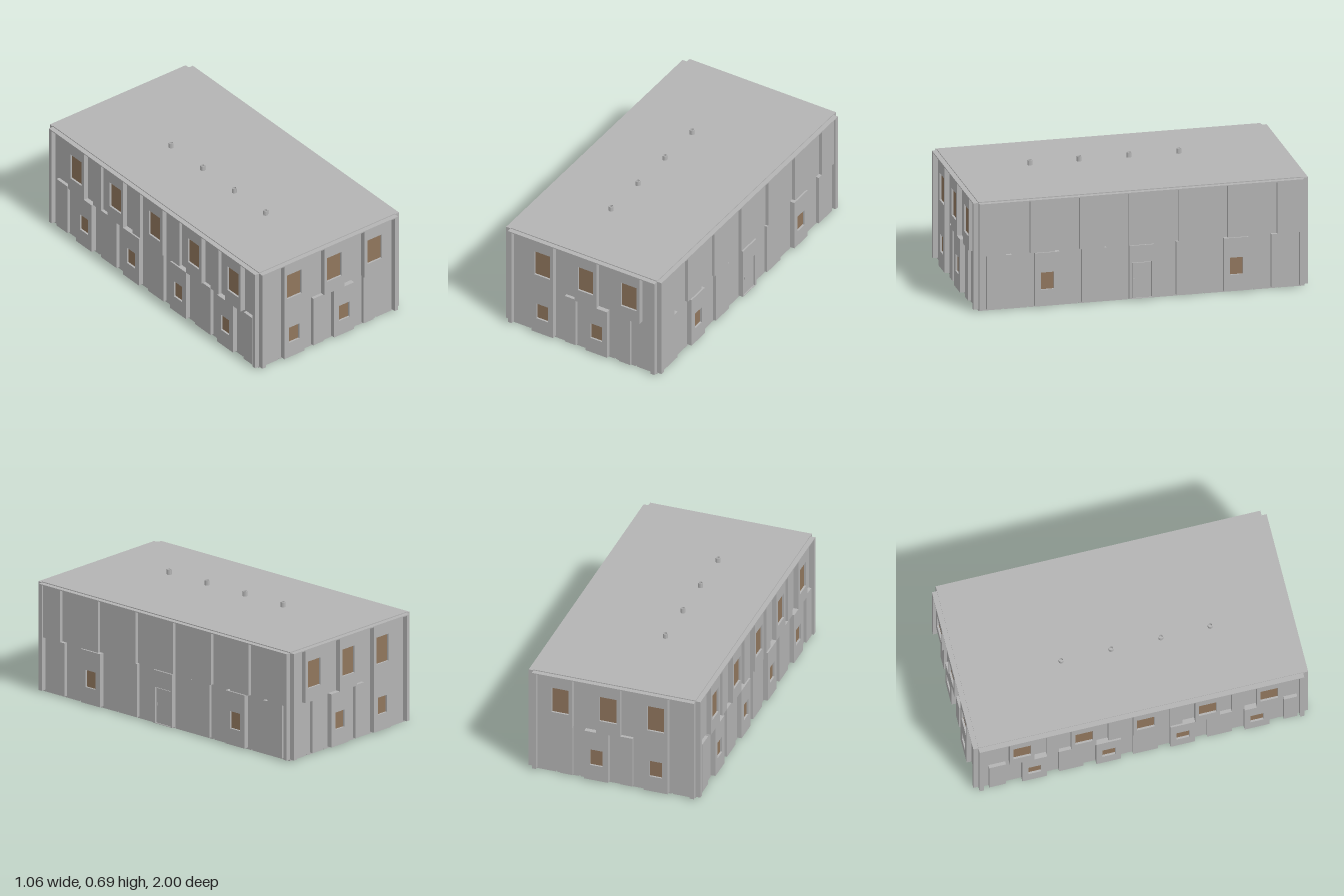
import * as THREE from 'three';

const concrete = new THREE.MeshStandardMaterial({ color: 0xb3b3b3 });
concrete.name = 'concrete';
const glass = new THREE.MeshStandardMaterial({ color: 0x90765d });
glass.name = 'brown glass';

const HX = 0.5, HZ = 0.97;        // half size of the core
const OUT = 0.03;                 // how far window panels stand out
const FIN = 0.02;                 // how far plain panels stand out
const Y0 = 0.01, YM = 0.335, Y1 = 0.66;
const UNIT = 0.1475;              // panel width

function add(parent, name, geometry, material, x = 0, y = 0, z = 0) {
  const mesh = new THREE.Mesh(geometry, material);
  mesh.name = name;
  mesh.position.set(x, y, z);
  parent.add(mesh);
  return mesh;
}

function box(parent, name, x0, x1, y0, y1, z0, z1, material = concrete) {
  return add(parent, name, new THREE.BoxGeometry(x1 - x0, y1 - y0, z1 - z0), material,
    (x0 + x1) / 2, (y0 + y1) / 2, (z0 + z1) / 2);
}

// Wall panel with a rectangular opening [x0, x1, y0, y1]
function openPanel(parent, name, cx, y0, y1, [hx0, hx1, hy0, hy1]) {
  const w = UNIT / 2;
  const shape = new THREE.Shape();
  shape.moveTo(cx - w, y0).lineTo(cx + w, y0).lineTo(cx + w, y1).lineTo(cx - w, y1).closePath();
  const hole = new THREE.Path();
  hole.moveTo(hx0, hy0).lineTo(hx0, hy1).lineTo(hx1, hy1).lineTo(hx1, hy0).closePath();
  shape.holes.push(hole);
  add(parent, name, new THREE.ExtrudeGeometry(shape, { depth: OUT, bevelEnabled: false }), concrete);
}

// Panel with a window set back in it
function windowPanel(parent, cx, upper) {
  const [w, lo, hi] = upper ? [0.0525, 0.42, 0.585] : [0.0385, 0.11, 0.215];
  const y = upper ? [YM, Y1] : [Y0, YM];
  openPanel(parent, 'windowPanel', cx, y[0], y[1], [cx - w, cx + w, lo, hi]);
  box(parent, 'windowPane', cx - w, cx + w, lo, hi, 0.01, 0.018, glass);
}

// Panel with a door and its handle
function doorPanel(parent, cx) {
  openPanel(parent, 'doorPanel', cx, Y0, YM, [cx - 0.06, cx + 0.06, Y0 + 0.003, 0.232]);
  box(parent, 'door', cx - 0.055, cx + 0.055, Y0, 0.226, 0, 0.022);
  box(parent, 'doorHandle', cx - 0.05, cx - 0.044, 0.12, 0.135, 0.02, 0.028);
}

// One wall: x runs along it, z points outwards from the core
function wall(root, name, angle, half, distance, spec) {
  const g = new THREE.Group();
  g.name = name;
  g.rotation.y = angle;
  g.position.set(Math.sin(angle) * distance, 0, Math.cos(angle) * distance);
  spec.upper.forEach(c => windowPanel(g, c, true));
  spec.lower.forEach(c => windowPanel(g, c, false));
  (spec.doors || []).forEach(c => doorPanel(g, c));
  for (const [c, w] of spec.upperFins) box(g, 'plainPanel', c - w / 2, c + w / 2, YM, Y1, 0, FIN);
  for (const [c, w] of spec.lowerFins) box(g, 'plainPanel', c - w / 2, c + w / 2, Y0, YM, 0, FIN);
  // end strips and top ledge
  for (const s of [-1, 1]) {
    const c = s * (half - 0.0125);
    box(g, 'endStrip', c - 0.0125, c + 0.0125, Y0, Y1, 0, OUT);
  }
  box(g, 'topLedge', -half, half, Y1 - 0.006, Y1, 0, OUT);
  root.add(g);
}

export function createModel() {
  const root = new THREE.Group();
  root.name = 'building';

  // Core block with the roof on top
  box(root, 'core', -HX, HX, 0.006, 0.665, -HZ, HZ);

  // Floor tiles with narrow joints
  const nx = 7, nz = 13, tx = 2 * HX / nx, tz = 2 * HZ / nz, gap = 0.004;
  for (let i = 0; i < nx; i++) for (let j = 0; j < nz; j++) {
    const x = -HX + i * tx, z = -HZ + j * tz;
    box(root, 'floorTile', x + (i ? gap : 0), x + tx - (i < nx - 1 ? gap : 0), 0, 0.007,
      z + (j ? gap : 0), z + tz - (j < nz - 1 ? gap : 0));
  }

  // Front and back share the same window positions
  const end = s => ({
    upper: [-0.265, 0.03, 0.325].map(c => c * s),
    lower: [-0.265, 0.1025].map(c => c * s),
    upperFins: [],
    lowerFins: [[-0.08 * s, 0.074], [0.29 * s, 0.074]],
  });
  wall(root, 'frontWall', 0, HX, HZ, end(1));
  wall(root, 'backWall', Math.PI, HX, HZ, end(-1));

  // Side with the door
  wall(root, 'leftWall', Math.PI / 2, HZ, HX, {
    upper: [], lower: [-0.565, 0.565], doors: [0],
    upperFins: [-3, -2, -1, 0, 1, 2, 3].map(k => [k * 2 * UNIT, UNIT]),
    lowerFins: [-0.85, -0.2825, 0.2825, 0.85].map(c => [c, UNIT]),
  });

  // Side with two rows of windows
  const up = [-2, -1, 0, 1, 2].map(k => 0.023 + k * 0.369);
  const low = [-1.5, -0.5, 0.5, 1.5].map(k => 0.023 + k * 0.4425);
  wall(root, 'rightWall', -Math.PI / 2, HZ, HX, {
    upper: up, lower: low,
    upperFins: up.slice(1).map(c => [c - 0.1845, 0.074]),
    lowerFins: [...low.slice(1).map(c => [c - 0.22125, UNIT]), [-0.86, 0.1], [0.89, 0.08]],
  });

  // Open vent pipes on the roof
  const profile = [[0.015, 0], [0.015, 0.03], [0.010, 0.03], [0.010, 0.004], [0, 0.004]]
    .map(p => new THREE.Vector2(...p));
  const pipe = new THREE.LatheGeometry(profile, 12).toNonIndexed();
  pipe.computeVertexNormals();
  for (const z of [0.515, 0.22, -0.077, -0.375]) add(root, 'ventPipe', pipe, concrete, -0.096, 0.665, z);

  return root;
}
